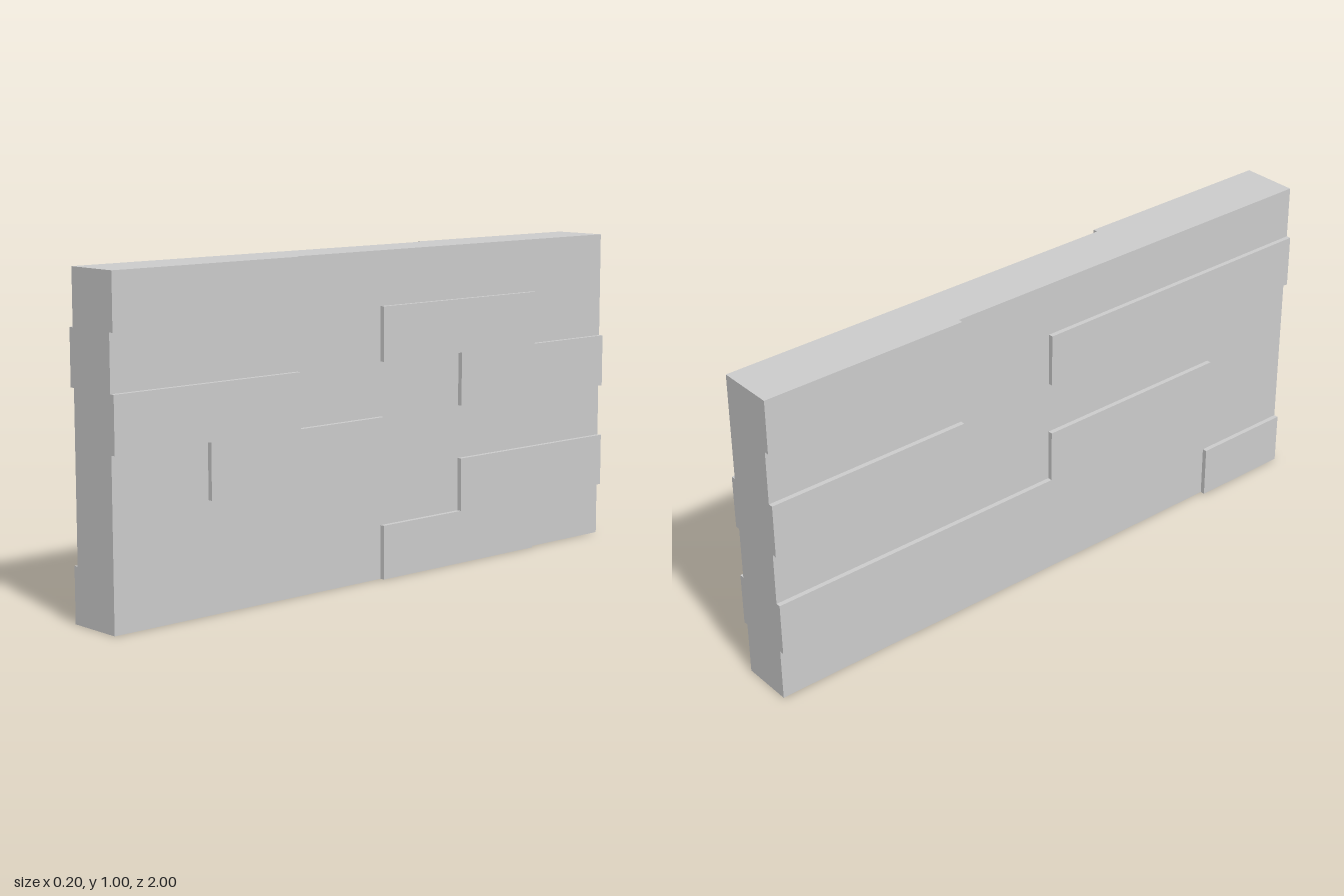
import * as THREE from 'three';

const HALF_CORE = 0.083, RELIEF = 0.015, ROW = 1 / 6, COL = 1 / 3;

// Raised bricks per side: [row from the bottom, start column, end column], columns run along z in thirds
const LEFT_BRICKS = [
  [5, 1, 3], [4, -2, 0], [3, 1, 3], [3, -3, -1], [2, 0, 2], [1, -3, -1], [0, -2, 0],
];
const RIGHT_BRICKS = [
  [5, -3, -1], [4, 0, 3], [3, -3, -1], [2, 0, 2], [1, -3, 1], [0, 2, 3],
];

export function createModel() {
  const group = new THREE.Group();
  const material = new THREE.MeshStandardMaterial({ color: 0xcccccc, flatShading: true });

  function addBox(name, parent, size, position) {
    const mesh = new THREE.Mesh(new THREE.BoxGeometry(...size), material);
    mesh.name = name;
    mesh.position.set(...position);
    parent.add(mesh);
  }

  // Wall slab
  addBox('wallCore', group, [2 * HALF_CORE, 1, 2], [0, 0.5, 0]);

  // Shallow bricks standing proud of each face
  function addBricks(name, side, bricks) {
    const face = new THREE.Group();
    face.name = name;
    for (const [row, from, to] of bricks) {
      addBox('raisedBrick', face, [RELIEF, ROW, (to - from) * COL],
        [side * (HALF_CORE + RELIEF / 2), (row + 0.5) * ROW, (from + to) / 2 * COL]);
    }
    group.add(face);
  }
  addBricks('leftFaceBricks', 1, LEFT_BRICKS);
  addBricks('rightFaceBricks', -1, RIGHT_BRICKS);

  return group;
}
